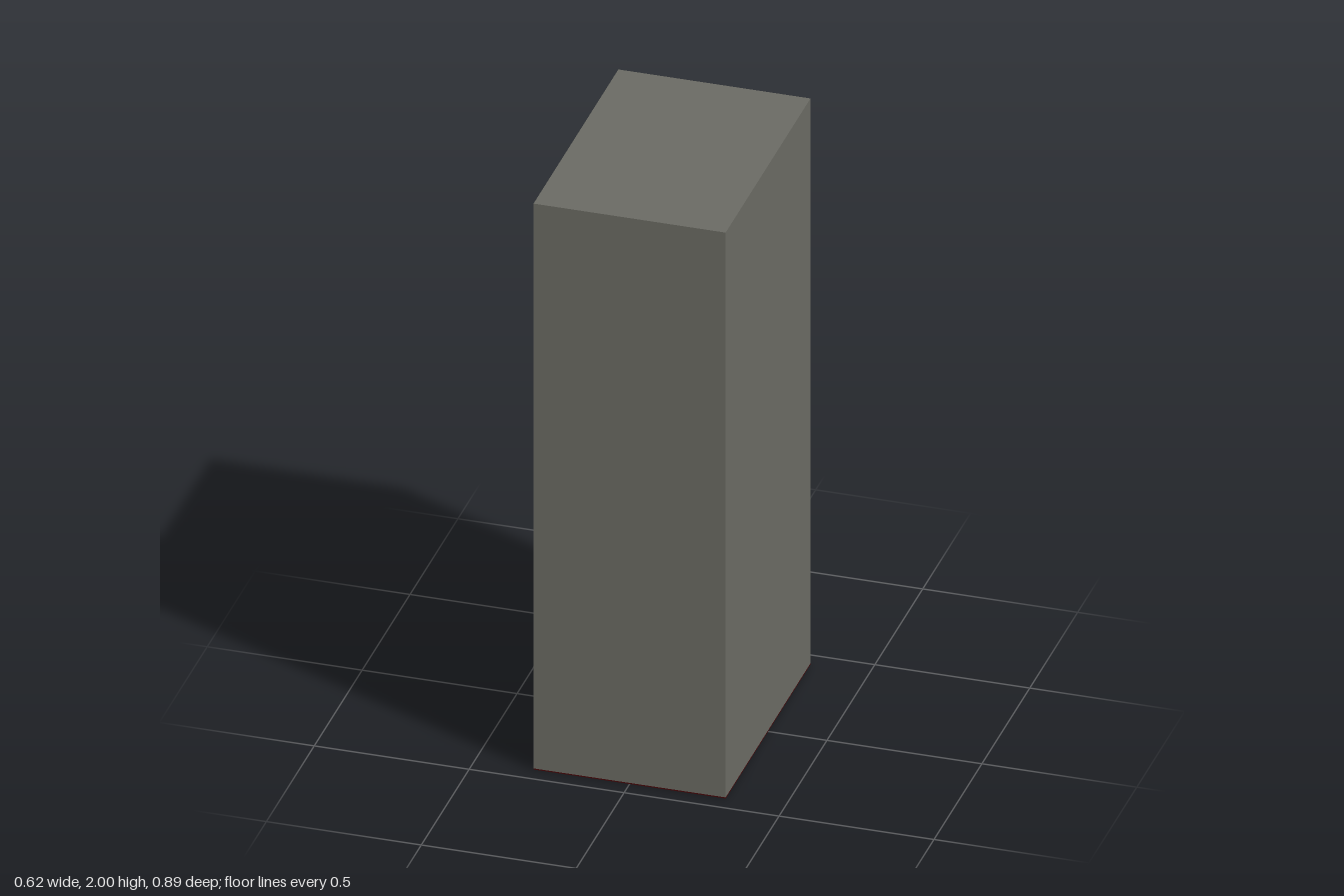
import * as THREE from 'three';

const HALF_W = 0.31, HALF_D = 0.443, HEIGHT = 2, BASE = 0.004, FACADE = 0.04;

const material = (name, color) => {
  const m = new THREE.MeshStandardMaterial({ color });
  m.name = name;
  return m;
};

// Openings on the facade: z range, y range, recess depth
function listOpenings() {
  const openings = [];
  const mirrored = (name, z0, z1, y0, y1, depth) => {
    openings.push({ name, z0, z1, y0, y1, depth });
    openings.push({ name, z0: -z1, z1: -z0, y0, y1, depth });
  };
  // three storeys of paired windows
  for (let i = 0; i < 3; i++) {
    const y = 0.681 + i * 0.449;
    mirrored('upperWindow', 0.056, 0.4, y, y + 0.177, 0.02);
  }
  // ground floor: side windows and a double entrance
  mirrored('sideWindow', 0.254, 0.418, 0.06, 0.379, 0.036);
  mirrored('doorUpperPane', 0.014, 0.228, 0.164, 0.383, 0.016);
  mirrored('doorLowerPane', 0.014, 0.228, 0.025, 0.14, 0.016);
  return openings;
}

function rectangle(target, z0, z1, y0, y1) {
  target.moveTo(z0, y0);
  target.lineTo(z1, y0);
  target.lineTo(z1, y1);
  target.lineTo(z0, y1);
  target.closePath();
  return target;
}

export function createModel() {
  const group = new THREE.Group();
  group.name = 'building';
  const wall = material('wallGrey', 0x6a6a63);
  const glass = material('paneGrey', 0x919191);
  const underside = material('darkRed', 0x450809);

  const add = (name, geometry, mat, x = 0, y = 0, z = 0) => {
    const mesh = new THREE.Mesh(geometry, mat);
    mesh.name = name;
    mesh.position.set(x, y, z);
    group.add(mesh);
  };

  // Main block, leaving room for the pierced facade
  add('mainBlock', new THREE.BoxGeometry(2 * HALF_W - FACADE, HEIGHT - BASE, 2 * HALF_D), wall,
    FACADE / 2, (HEIGHT + BASE) / 2, 0);

  // Facade slab with openings, turned to face -x
  const openings = listOpenings();
  const shape = rectangle(new THREE.Shape(), -HALF_D, HALF_D, BASE, HEIGHT);
  for (const o of openings) shape.holes.push(rectangle(new THREE.Path(), o.z0, o.z1, o.y0, o.y1));
  const facade = new THREE.ExtrudeGeometry(shape, { depth: FACADE, bevelEnabled: false });
  facade.rotateY(-Math.PI / 2);
  add('facade', facade, wall, -HALF_W + FACADE);

  // Panes set back inside each opening
  for (const o of openings) {
    const pane = new THREE.PlaneGeometry(o.z1 - o.z0, o.y1 - o.y0).rotateY(-Math.PI / 2);
    add(o.name, pane, glass, -HALF_W + o.depth, (o.y0 + o.y1) / 2, (o.z0 + o.z1) / 2);
  }

  // Thin floor plate underneath
  add('floorPlate', new THREE.BoxGeometry(2 * HALF_W, BASE, 2 * HALF_D), underside, 0, BASE / 2, 0);

  return group;
}
